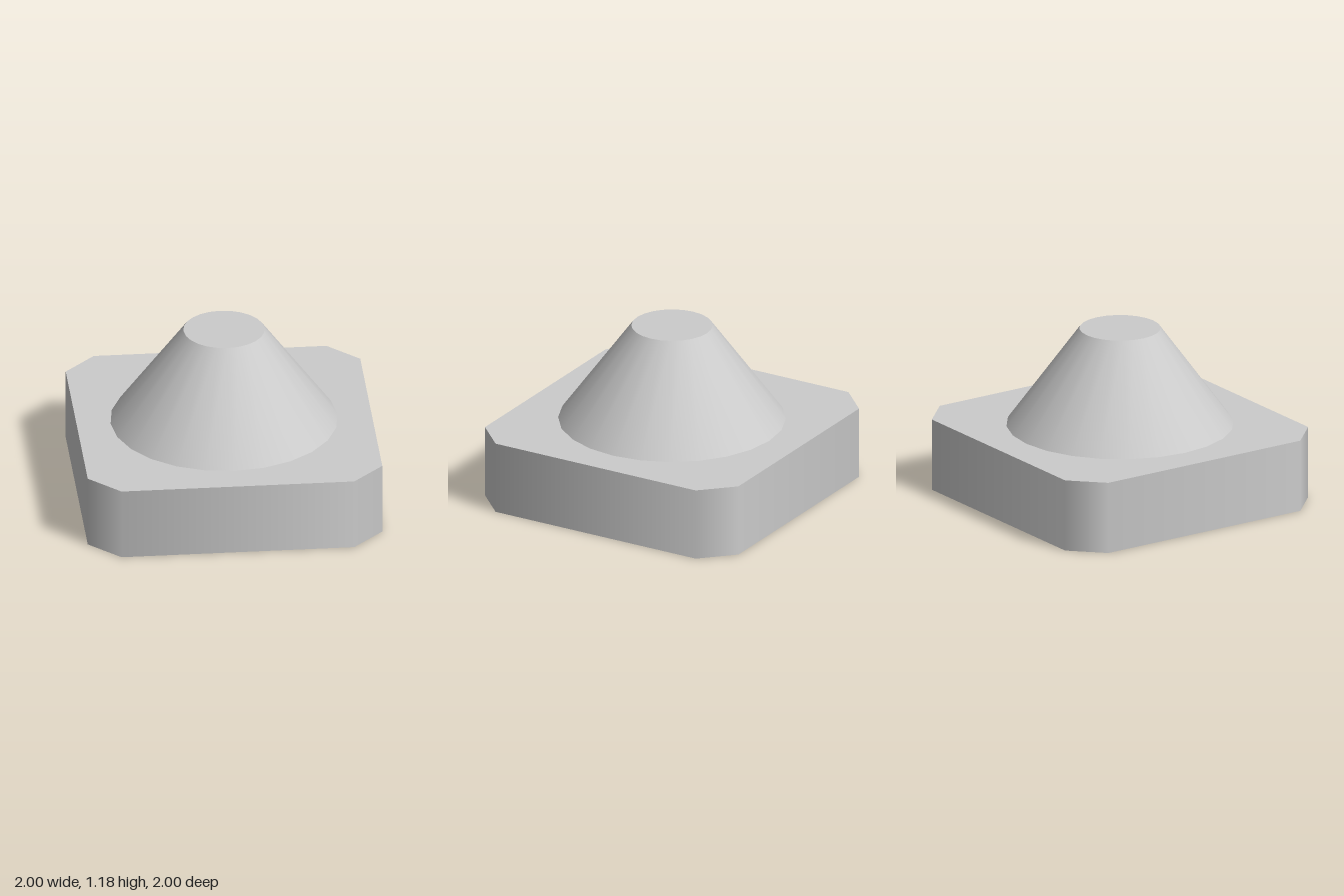
import * as THREE from 'three';

const BASE_HEIGHT = 0.5;
const CONE_HEIGHT = 0.68;
const CORNER = 0.79; // where each straight side meets its cut corner

export function createModel() {
  const model = new THREE.Group();
  model.name = 'conePedestal';
  const material = new THREE.MeshStandardMaterial({ color: 0xcccccc });

  // Square base with cut corners: an eight-sided prism stretched so that
  // four sides are long; its smooth side normals are kept.
  const baseGeometry = new THREE.CylinderGeometry(1, 1, BASE_HEIGHT, 8, 1, false, Math.PI / 8);
  const position = baseGeometry.attributes.position;
  for (let i = 0; i < position.count; i++) {
    const x = position.getX(i);
    const z = position.getZ(i);
    if (Math.hypot(x, z) < 0.5) continue; // cap centres stay put
    const alongX = Math.abs(x) > Math.abs(z);
    position.setX(i, Math.sign(x) * (alongX ? 1 : CORNER));
    position.setZ(i, Math.sign(z) * (alongX ? CORNER : 1));
  }
  const base = new THREE.Mesh(baseGeometry, material);
  base.name = 'base';
  base.position.y = BASE_HEIGHT / 2;
  model.add(base);

  // Truncated cone standing on the base
  const cone = new THREE.Mesh(new THREE.CylinderGeometry(0.275, 0.77, CONE_HEIGHT, 24), material);
  cone.name = 'truncatedCone';
  cone.position.y = BASE_HEIGHT + CONE_HEIGHT / 2;
  model.add(cone);

  return model;
}
